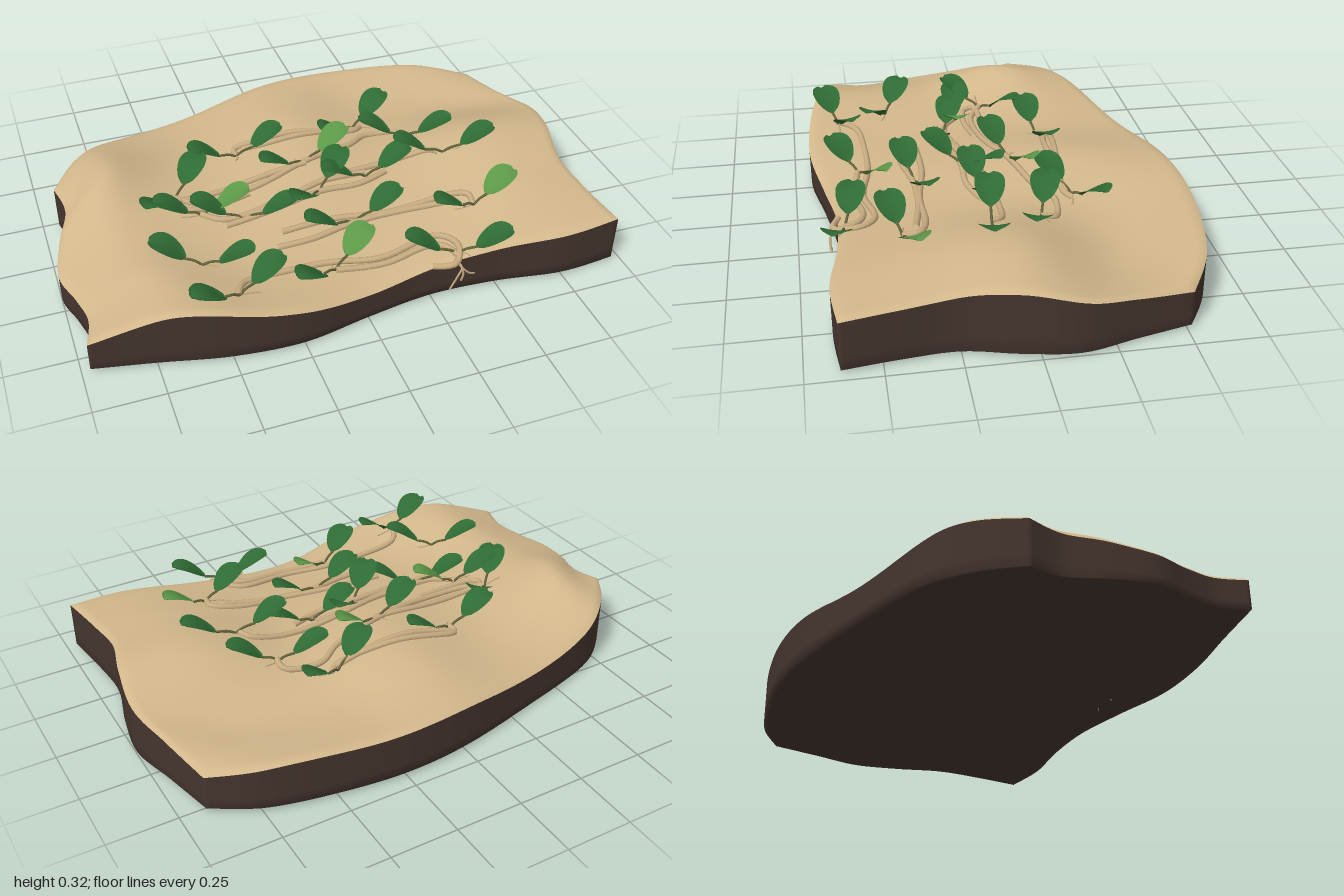
import * as THREE from 'three';
import { mergeGeometries, mergeVertices } from 'three/addons/utils/BufferGeometryUtils.js';

const NU = 72, NV = 48, BASE = 0.012;
const mat = (name, color, side = THREE.FrontSide) => {
  const m = new THREE.MeshStandardMaterial({ color, side });
  m.name = name;
  return m;
};
const spline = pts => new THREE.SplineCurve(pts.map(p => new THREE.Vector2(...p)));

// Outline of the plot: four wavy edges, [x, z]
const back = spline([[-.94, -.225], [-.83, -.375], [-.66, -.495], [-.3, -.6], [0, -.67], [.25, -.69], [.5, -.665], [.74, -.61], [.91, -.515]]);
const front = spline([[-.97, .57], [-.75, .615], [-.5, .67], [-.25, .685], [0, .64], [.25, .605], [.5, .615], [.75, .65], [.965, .635]]);
const left = spline([[-.94, -.225], [-.92, -.1], [-.97, .05], [-1, .2], [-.965, .33], [-.943, .45], [-.97, .57]]);
const right = spline([[.91, -.515], [.955, -.32], [1, -.13], [.975, .06], [.93, .25], [.94, .44], [.965, .635]]);

// Ground heights, rows back to front, columns from -x to +x
const heights = [
  [.19, .2, .15, .185, .185, .185, .15],
  [.165, .255, .165, .215, .155, .15, .19],
  [.125, .185, .16, .195, .185, .255, .245],
  [.125, .2, .15, .16, .175, .225, .215],
  [.13, .22, .17, .122, .152, .185, .2],
];
function smoothSample(list, t) {
  const f = THREE.MathUtils.clamp(t, 0, 1) * (list.length - 1);
  const i = Math.min(Math.floor(f), list.length - 2), s = f - i;
  const p = k => list[THREE.MathUtils.clamp(k, 0, list.length - 1)];
  const a = p(i - 1), b = p(i), c = p(i + 1), d = p(i + 2);
  return b + 0.5 * s * (c - a + s * (2 * a - 5 * b + 4 * c - d + s * (3 * (b - c) + d - a)));
}
function heightUV(u, v) {
  const edge = Math.min(u * 1.9, (1 - u) * 1.9, v * 1.15, (1 - v) * 1.15);
  const lip = Math.max(0, 1 - edge / 0.04);
  return smoothSample(heights.map(r => smoothSample(r, u)), v) - 0.01 * lip * lip;
}

// Blend the four edges into a patch
function patch(u, v) {
  const b = back.getPoint(u), f = front.getPoint(u), l = left.getPoint(v), r = right.getPoint(v);
  const mix = k => (1 - v) * b[k] + v * f[k] + (1 - u) * l[k] + u * r[k]
    - (1 - u) * (1 - v) * back.points[0][k] - u * (1 - v) * back.points[8][k]
    - (1 - u) * v * front.points[0][k] - u * v * front.points[8][k];
  return [mix('x'), mix('y')];
}
// Ground height at any x, z
function ground(x, z) {
  let u = (x + .95) / 1.9, v = (z + .6) / 1.2;
  for (let i = 0; i < 15; i++) {
    const [px, pz] = patch(u, v);
    u = THREE.MathUtils.clamp(u - (px - x) / 1.9, 0, 1);
    v = THREE.MathUtils.clamp(v - (pz - z) / 1.2, 0, 1);
  }
  return heightUV(u, v);
}

// Grid surface; at(column, row) returns a point for fractions 0..1
function surface(nc, nr, at) {
  const pos = [], idx = [];
  for (let r = 0; r <= nr; r++) for (let c = 0; c <= nc; c++) {
    pos.push(...at(c / nc, r / nr));
    if (r < nr && c < nc) {
      const a = r * (nc + 1) + c, b = a + nc + 1;
      idx.push(a, b, a + 1, b, b + 1, a + 1);
    }
  }
  const g = new THREE.BufferGeometry();
  g.setAttribute('position', new THREE.Float32BufferAttribute(pos, 3));
  g.setIndex(idx);
  g.computeVertexNormals();
  return g;
}

export function createModel() {
  const sand = mat('sand', 0xd2b78b), earth = mat('dark earth', 0x45352e);
  const runnerMat = mat('runner tan', 0xc9ad82), stemMat = mat('stem olive', 0x66683f);
  const leafMat = mat('leaf green', 0x2f6b34, THREE.DoubleSide);
  const youngMat = mat('young leaf green', 0x5c9848, THREE.DoubleSide);

  const model = new THREE.Group();
  model.name = 'plantedGround';
  const group = name => {
    const g = new THREE.Group();
    g.name = name;
    model.add(g);
    return g;
  };
  const add = (parent, name, geo, m) => {
    const mesh = new THREE.Mesh(geo, m);
    mesh.name = name;
    parent.add(mesh);
    return mesh;
  };
  const tube = (pts, radius, segs, sides = 6) => new THREE.TubeGeometry(
    new THREE.CatmullRomCurve3(pts.map(p => new THREE.Vector3(...p))), segs, radius, sides);

  // Slab: sandy top, and one smooth earth shell of walls and underside
  const slab = group('groundSlab');
  add(slab, 'sandTop', surface(NU, NV, (u, v) => {
    const [x, z] = patch(u, v);
    return [x, heightUV(u, v), z];
  }), sand);
  const shell = [surface(NU, NV, (u, v) => {
    const [x, z] = patch(1 - u, v);
    return [x, BASE, z];
  })];
  const sides = [[NU, t => [1 - t, 0]], [NV, t => [1, 1 - t]], [NU, t => [t, 1]], [NV, t => [0, t]]];
  for (const [n, uv] of sides) {
    shell.push(surface(n, 4, (t, s) => {
      const [u, v] = uv(t), [x, z] = patch(u, v);
      return [x, THREE.MathUtils.lerp(heightUV(u, v), BASE, s), z];
    }));
  }
  shell.forEach(g => g.deleteAttribute('normal'));
  const earthGeo = mergeVertices(mergeGeometries(shell), 1e-4);
  earthGeo.computeVertexNormals();
  add(slab, 'earthWallsAndUnderside', earthGeo, earth);

  // Runners creeping over the sand, [x, z]
  const runners = group('runners');
  const paths = [
    [[.3, -.25], [.24, -.22], [.05, -.24], [-.12, -.26], [-.22, -.26], [-.23, -.21]],
    [[.27, -.23], [.1, -.22], [-.08, -.22], [-.2, -.24]],
    [[.44, -.1], [.43, -.16], [.3, -.18], [.2, -.12], [0, -.06], [-.2, 0], [-.42, .02], [-.52, -.03]],
    [[0, -.05], [-.2, -.04], [-.4, -.02], [-.51, -.01], [-.5, .04], [-.4, .05], [-.25, .03]],
    [[-.45, .08], [-.35, .14], [-.1, .1], [.1, .05], [.3, .03], [.46, .04], [.5, .085]],
    [[-.38, .17], [-.2, .15], [0, .12], [.15, .12], [.28, .08]],
    [[-.3, .15], [-.15, .12], [.02, .07], [.2, .06]],
    [[-.2, .27], [0, .27], [.2, .3], [.4, .3], [.5, .33], [.5, .39]],
    [[-.24, .34], [-.1, .34], [.07, .31], [.25, .31], [.45, .34]],
    [[-.45, .57], [-.4, .49], [-.25, .47], [-.08, .47], [.1, .5], [.3, .47], [.37, .54], [.33, .62], [.25, .6]],
    [[-.08, .51], [.1, .53], [.25, .51], [.32, .53], [.35, .59]],
  ];
  for (const path of paths) {
    const flat = spline(path).getPoints(path.length * 3);
    add(runners, 'runner', tube(flat.map(p => [p.x, ground(p.x, p.y) + 0.004, p.y]), 0.012, path.length * 8, 8), runnerMat);
  }

  // Blunt arched leaf lying along +x
  const leafGeo = surface(12, 6, (t, s) => {
    const side = 2 * s - 1;
    const half = 0.054 * Math.pow(Math.sin(Math.PI * Math.pow(0.015 + 0.97 * t, 1.1)), 0.45);
    return [t * 0.128 - 0.064, 0.066 * Math.sin(t * 1.75) + 0.008 * side * side, side * half];
  });

  // Seedlings: a node with two opposite leaves [ax, az, bx, bz, young leaf]
  const seedlings = [
    [.38, -.31, .16, -.19, ''], [-.1, -.23, -.36, -.2, ''], [-.43, -.12, -.61, .06, ''],
    [.13, -.1, -.13, -.02, 'a'], [.32, -.14, .55, -.07, ''], [.38, .07, .65, .1, ''],
    [.08, .09, .32, .07, ''], [-.56, .07, -.33, .09, 'b'], [-.43, .11, -.18, .19, ''],
    [-.09, .2, .09, .03, ''], [-.63, .31, -.41, .42, ''], [-.07, .33, .2, .28, ''],
    [.39, .42, .62, .36, 'b'], [.03, .44, -.19, .57, 'a'], [-.33, .53, -.56, .6, ''],
    [.23, .55, .48, .61, ''],
  ];
  const plants = group('seedlings');
  seedlings.forEach(([ax, az, bx, bz, young], i) => {
    const plant = new THREE.Group();
    plant.name = 'seedling';
    plants.add(plant);
    const nx = (ax + bx) / 2, nz = (az + bz) / 2, y = ground(nx, nz);
    [['a', ax, az], ['b', bx, bz]].forEach(([key, x, z]) => {
      const dist = Math.hypot(x - nx, z - nz), dx = (x - nx) / dist, dz = (z - nz) / dist;
      const reach = dist - 0.061, lift = Math.max(y, ground(x, z) - 0.045) + 0.022;
      const leaf = add(plant, 'leaf', leafGeo, key === young ? youngMat : leafMat);
      leaf.position.set(x, lift, z);
      leaf.rotation.y = Math.atan2(-dz, dx);
      add(plant, 'leafStem', tube([
        [nx, y, nz], [nx + dx * reach * .4, y + 0.016, nz + dz * reach * .4],
        [nx + dx * reach, lift + 0.002, nz + dz * reach],
      ], 0.005, 8, 5), stemMat);
    });
    // Fine rootlet spreading over the sand
    const rootPts = [0, .03, .06].map((r, j) => {
      const a = i * 1.3 + j * .2;
      const x = nx + Math.cos(a) * r * 1.3, z = nz + Math.sin(a) * r * .5;
      return [x, ground(x, z) + 0.002, z];
    });
    add(plant, 'rootlet', tube(rootPts, 0.003, 6, 4), runnerMat);
  });

  // Roots hanging over the front wall, and root tips under the slab
  const roots = group('hangingRoots');
  [[.31, .04], [.4, .09], [.35, .07]].forEach(([x, y]) => add(roots, 'hangingRoot',
    tube([[.34, .145, .6], [.35, .13, .63], [(x + .36) / 2, .1, .635], [x, y, .63]], 0.004, 10, 5), runnerMat));
  [[-.12, .53], [-.02, .53]].forEach(([x, z]) => {
    const tip = add(roots, 'rootTip', new THREE.ConeGeometry(0.005, 0.03, 5), runnerMat);
    tip.position.set(x, 0.015, z);
    tip.rotation.x = Math.PI;
  });
  return model;
}
